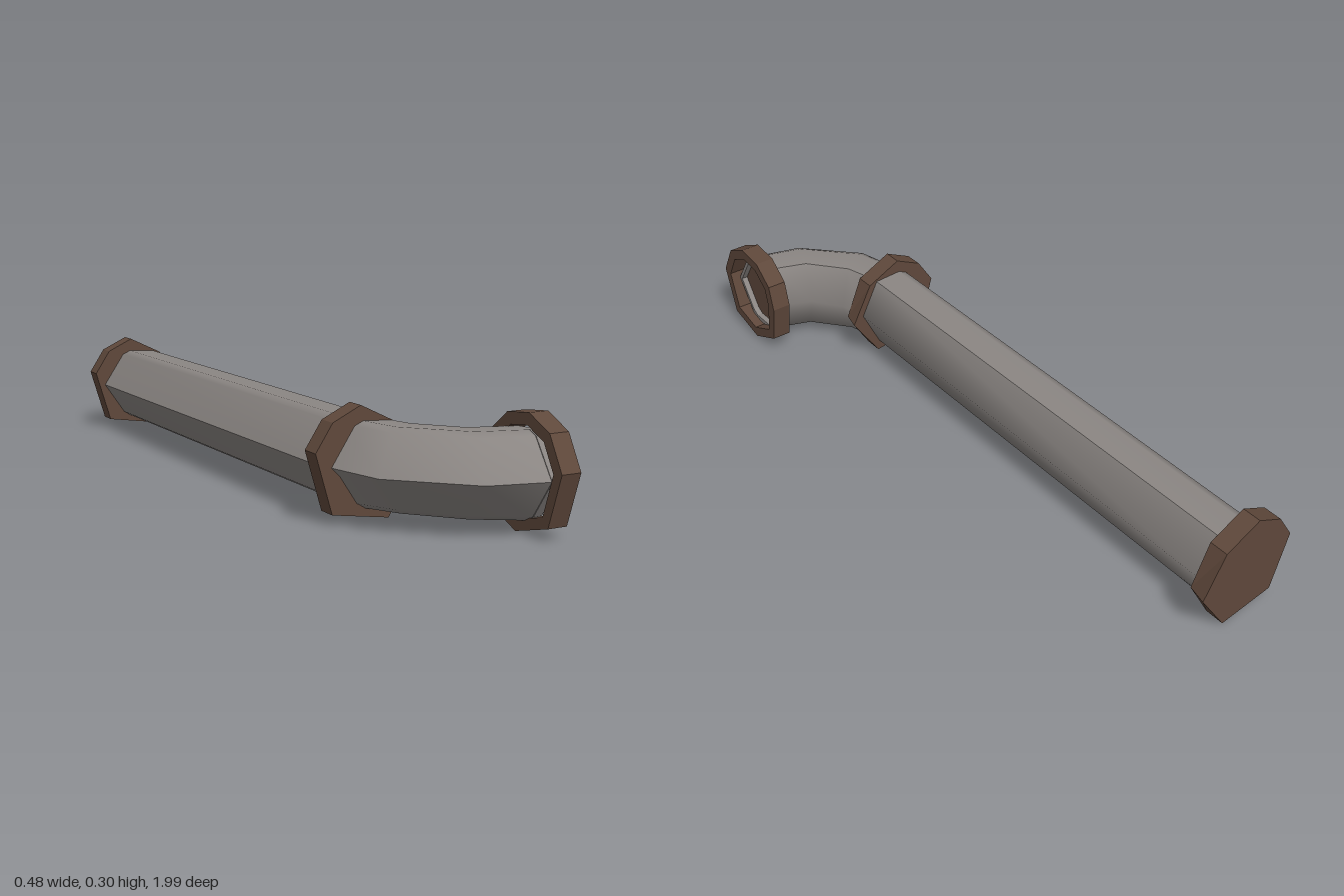
import * as THREE from 'three';

const metal = new THREE.MeshStandardMaterial({ color: 0x8b8683, side: THREE.DoubleSide });
metal.name = 'grey metal';
const rust = new THREE.MeshStandardMaterial({ color: 0x5f483b });
rust.name = 'rusty brown';

// Smooth skin over open rows of [x, y, z] points
function loft(rows) {
  const n = rows[0].length;
  const index = [];
  for (let r = 0; r < rows.length - 1; r++) {
    for (let i = 0; i < n - 1; i++) {
      const a = r * n + i, b = a + 1, c = a + n, d = c + 1;
      index.push(a, c, b, b, c, d);
    }
  }
  const geo = new THREE.BufferGeometry();
  geo.setAttribute('position', new THREE.Float32BufferAttribute(rows.flat(2), 3));
  geo.setIndex(index);
  geo.computeVertexNormals();
  return geo;
}

const vectors = (pts) => pts.map(([x, y]) => new THREE.Vector2(x, y));
const scaled = (pts, s, [cx, cy]) => pts.map(([x, y]) => [cx + (x - cx) * s, cy + (y - cy) * s]);

// Flat plate with an optional hole
function plate(pts, depth, hole) {
  const shape = new THREE.Shape(vectors(pts));
  if (hole) shape.holes.push(new THREE.Path(vectors(hole)));
  return new THREE.ExtrudeGeometry(shape, { depth, bevelEnabled: false });
}

// Pipe section: t runs from the outer side (0) to the inner side (1), then height;
// the last column says how far the tuck of a ring shifts the point inward
const section = [
  [0, 0.15, 0], [0.29, 0.25, 0], [0.4, 0.261, 0], [0.76, 0.256, 0],
  [1, 0.15, 0], [0.76, 0.037, 0], [0.4, 0.037, 1], [0.29, 0.052, 1],
];
const ring = ([ox, oz, ix, iz, tuck = 0]) => section.map(([t, y, k]) => {
  const u = t + k * tuck;
  return [ox + (ix - ox) * u, y, oz + (iz - oz) * u];
});

export function createModel() {
  const group = new THREE.Group();
  const add = (name, geo, material) => {
    const mesh = new THREE.Mesh(geo, material);
    mesh.name = name;
    group.add(mesh);
    return mesh;
  };

  // Tube in two smooth halves that meet in hard seams on the outer side and the inner top
  const addTube = (name, stations) => {
    const rings = stations.map(ring);
    add(name + 'Upper', loft(rings.map((p) => p.slice(0, 4))), metal);
    add(name + 'Lower', loft(rings.map((p) => [...p.slice(3), p[0]])), metal);
  };

  // Straight pipe
  addTube('straightPipe', [[-0.212, -0.97, 0.02, -0.97], [-0.212, 0.56, 0.02, 0.56]]);

  // Elbow, each station an outer and an inner point of the bend
  const mouthStation = [0.205, 0.962, 0.205, 0.735];
  addTube('elbow', [
    [-0.205, 0.55, 0.02, 0.55],
    [-0.16, 0.74, 0.04, 0.61, 0.15],
    [0.02, 0.92, 0.1, 0.695, 0.15],
    [0.18, 0.96, 0.18, 0.73],
    mouthStation,
  ]);

  // Solid uneven seven-sided flanges, one corner flaring toward the back
  const outline = [
    [0.09, 0.1], [0.142, -0.02], [0.07, -0.145], [-0.095, -0.12],
    [-0.143, 0.04], [-0.095, 0.113], [-0.015, 0.151],
  ];
  for (const [name, z] of [['backFlange', -0.99], ['middleFlange', 0.525]]) {
    const geo = plate(outline, 0.055);
    const p = geo.attributes.position;
    for (let i = 0; i < p.count; i++) {
      if (p.getX(i) > 0.13 && p.getZ(i) < 0.01) p.setX(i, 0.155);
    }
    geo.computeVertexNormals();
    add(name, geo, rust).position.set(-0.1, 0.15, z);
  }

  // Mouth parts are drawn in (-z, y) and extruded along +x
  const addMouthPart = (name, geo, material, x) => {
    const mesh = add(name, geo, material);
    mesh.rotation.y = Math.PI / 2;
    mesh.position.x = x;
  };
  const centre = [-0.85, 0.15];
  const mouth = ring(mouthStation).map(([, y, z]) => [-z, y]);
  const rim = [
    [-0.87, 0.303], [-0.95, 0.265], [-1.0, 0.175], [-0.955, 0.035], [-0.83, 0.002],
    [-0.72, 0.05], [-0.702, 0.165], [-0.72, 0.24], [-0.785, 0.293],
  ];

  // Open flange, grey pipe lip inside it, and a recessed plug
  addMouthPart('endFlange', plate(rim, 0.057, scaled(rim, 0.79, centre)), rust, 0.178);
  const bore = scaled(mouth, 0.88, centre);
  addMouthPart('mouthLip', plate(mouth, 0.025, bore), metal, 0.181);
  addMouthPart('mouthPlug', plate(bore, 0.01), rust, 0.178);

  return group;
}
